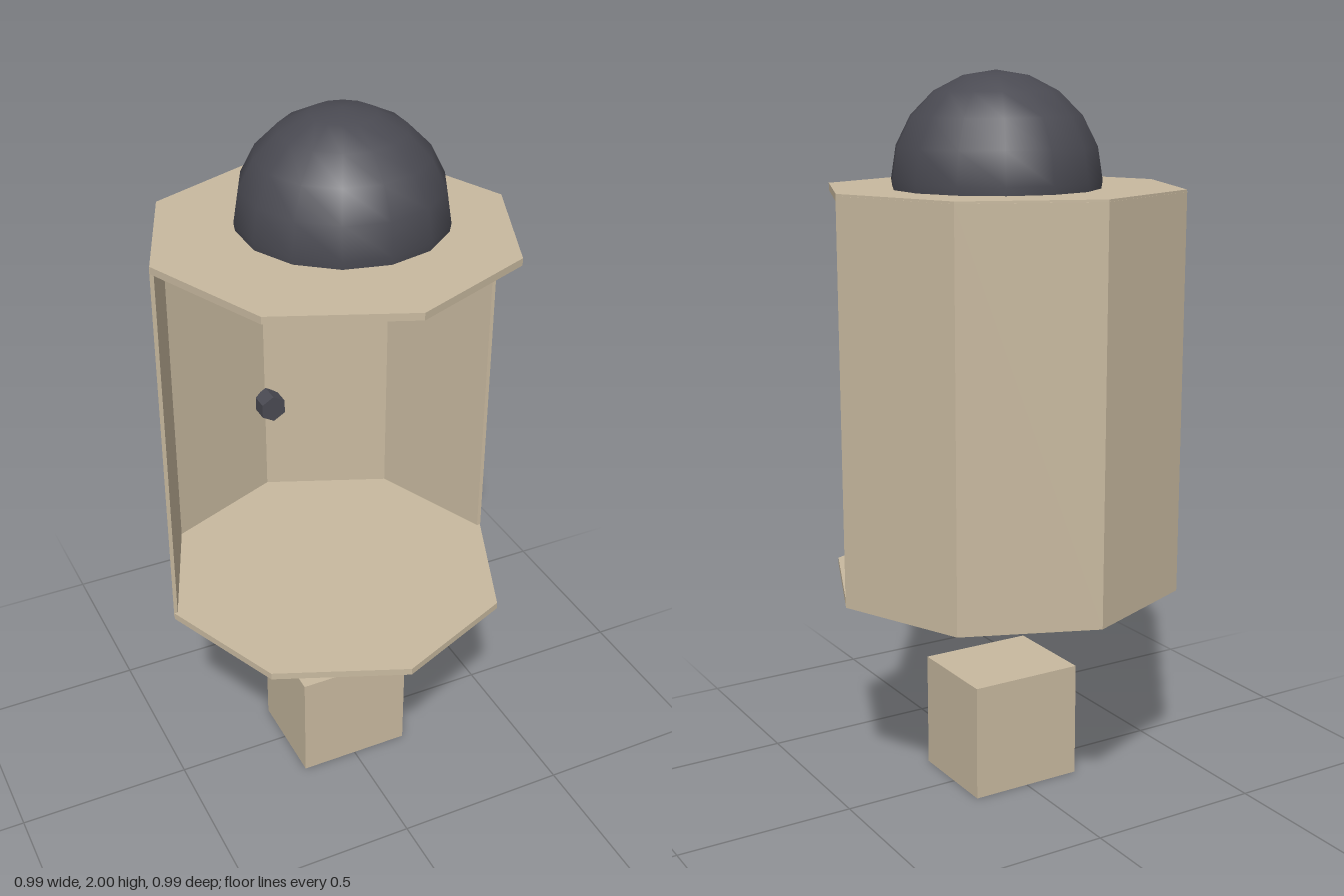
import * as THREE from 'three';

const tan = new THREE.MeshStandardMaterial({ color: 0xc8b99f });
const tanFlat = new THREE.MeshStandardMaterial({ color: 0xc8b99f, flatShading: true });
const dark = new THREE.MeshStandardMaterial({ color: 0x4a4a52 });
const darkFlat = new THREE.MeshStandardMaterial({ color: 0x4a4a52, flatShading: true });

function add(group, name, geometry, material, x, y, z) {
  const mesh = new THREE.Mesh(geometry, material);
  mesh.name = name;
  mesh.position.set(x, y, z);
  group.add(mesh);
  return mesh;
}

// Corners of the back half of an octagon, from +x round to -x
function halfOctagon(radius) {
  return Array.from({ length: 5 }, (_, i) => {
    const a = (i * Math.PI) / 4;
    return new THREE.Vector2(radius * Math.cos(a), radius * Math.sin(a));
  });
}

export function createModel() {
  const model = new THREE.Group();
  model.name = 'hangingBell';

  // Floor and roof: thin octagonal plates with a corner facing forward
  const plate = new THREE.CylinderGeometry(0.495, 0.495, 0.02, 8);
  add(model, 'floorPlate', plate, tanFlat, 0, 0.6, 0);
  add(model, 'roofPlate', plate, tanFlat, 0, 1.685, 0);

  // Thin wall round the back half, open at the front
  const outline = [...halfOctagon(0.496), ...halfOctagon(0.485).reverse()];
  const wall = new THREE.ExtrudeGeometry(new THREE.Shape(outline), { depth: 1.094, bevelEnabled: false });
  wall.rotateX(-Math.PI / 2);
  add(model, 'backWall', wall, tan, 0, 0.595, 0);

  // Ball set through the roof
  const ball = new THREE.SphereGeometry(0.283, 14, 10);
  ball.rotateY(Math.PI / 2);
  add(model, 'ball', ball, dark, 0.043, 1.717, -0.035);

  // Hexagonal studs on the inside of the wall
  const stud = new THREE.CylinderGeometry(0.042, 0.042, 0.06, 6);
  stud.rotateX(Math.PI / 2);
  add(model, 'lowerStud', stud, darkFlat, 0, 0.92, -0.448);
  add(model, 'upperStud', stud, darkFlat, 0, 1.32, -0.448);

  // Separate block below the housing
  add(model, 'block', new THREE.BoxGeometry(0.33, 0.33, 0.285), tan, 0, 0.165, 0.011);

  return model;
}
